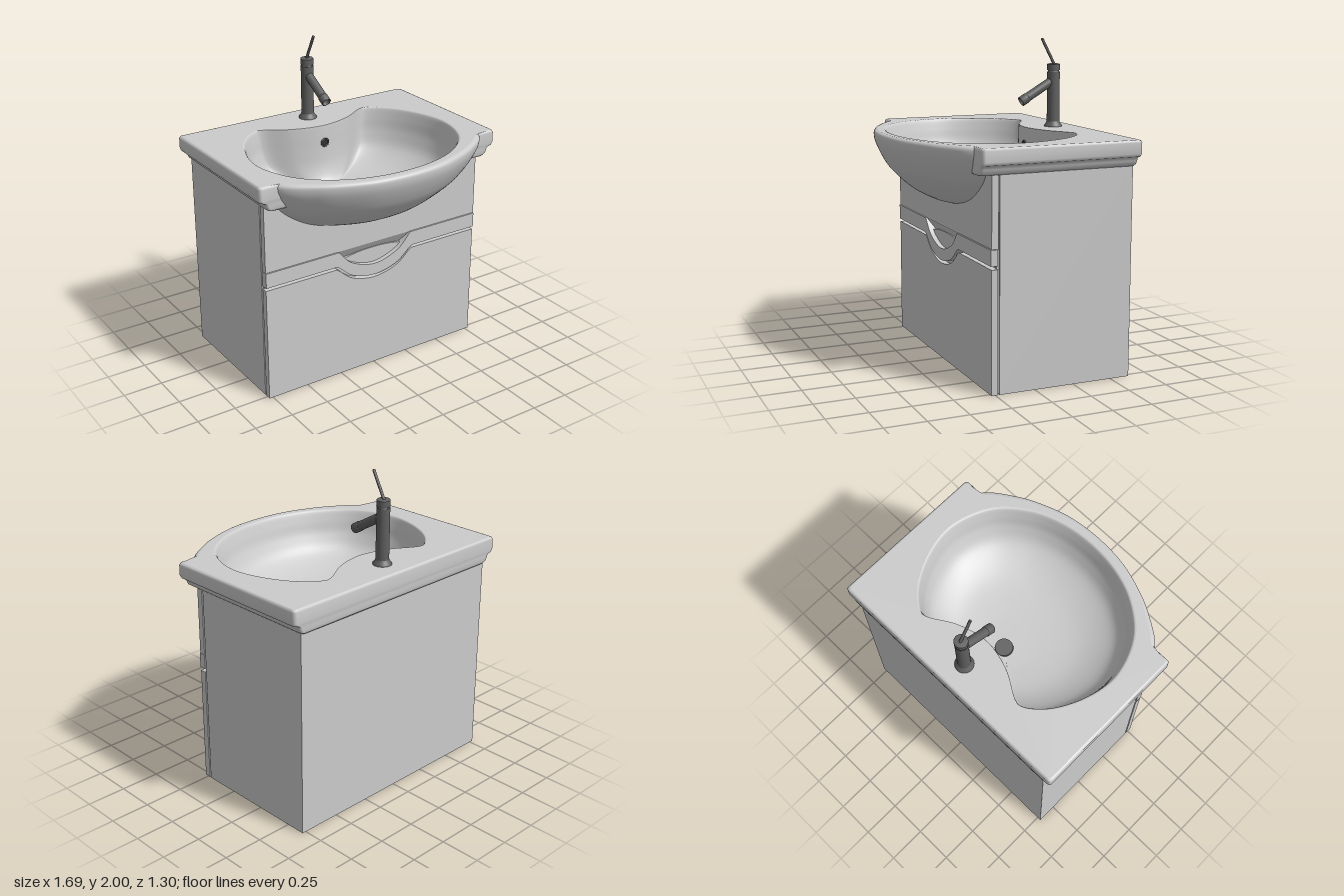
import * as THREE from 'three';

const GREY = 0xcccccc, METAL = 0x606060, DARK = 0x333333;

export function createModel() {
  const model = new THREE.Group();
  const add = (name, geo, color = GREY, side = THREE.FrontSide, parent = model) => {
    const mesh = new THREE.Mesh(geo, new THREE.MeshStandardMaterial({ color, side }));
    mesh.name = name;
    parent.add(mesh);
    return mesh;
  };
  const box = (name, w, h, d, x, y, z) =>
    add(name, new THREE.BoxGeometry(w, h, d)).position.set(x, y, z);
  const V2 = (a) => a.map(([x, y]) => new THREE.Vector2(x, y));

  // Smooth skin over rings of points
  const loft = (rings, closed) => {
    const n = rings[0].length, pos = [], idx = [];
    rings.forEach((r) => r.forEach((p) => pos.push(p.x, p.y, p.z)));
    for (let i = 0; i < rings.length - 1; i++)
      for (let j = 0; j < (closed ? n : n - 1); j++) {
        const k = (j + 1) % n, a = i * n + j, b = i * n + k;
        idx.push(a, a + n, b, b, a + n, b + n);
      }
    const g = new THREE.BufferGeometry();
    g.setAttribute('position', new THREE.Float32BufferAttribute(pos, 3));
    g.setIndex(idx);
    g.computeVertexNormals();
    return g;
  };

  // Closed symmetric outline (x, z) from its +x half, front to back
  const outline = (half, n) => {
    const mirror = half.slice(1, -1).reverse().map(([x, z]) => [-x, z]);
    const pts = [...half, ...mirror].map(([x, z]) => new THREE.Vector3(x, 0, z));
    return new THREE.CatmullRomCurve3(pts, true, 'centripetal').getPoints(n).slice(0, -1);
  };
  // Rings of an outline, scaled about z = cz along a (scale, height) profile
  const scaledRings = (line, profile, cz) =>
    new THREE.SplineCurve(V2(profile)).getPoints(40).map(({ x: s, y }) =>
      line.map((p) => new THREE.Vector3(p.x * s, y, cz + (p.z - cz) * s)));

  // ---- Basin ----
  const basin = new THREE.Group();
  basin.name = 'basin';
  model.add(basin);

  const outer = outline([[0, 0.65], [0.22, 0.63], [0.4, 0.573], [0.55, 0.5], [0.73, 0.355],
    [0.77, 0.15], [0.72, -0.2], [0.5, -0.47], [0, -0.56]], 128);
  const opening = outline([[0, 0.595], [0.22, 0.57], [0.42, 0.49], [0.6, 0.33], [0.69, 0.08],
    [0.66, -0.13], [0.55, -0.34], [0.42, -0.445], [0.37, -0.44], [0.2, -0.345], [0, -0.3]], 144);

  add('bowlOutside', loft(scaledRings(outer, [[0.965, 1.44], [0.99, 1.432], [1, 1.41], [0.985, 1.36],
    [0.93, 1.28], [0.85, 1.2], [0.69, 1.1], [0.55, 1.045], [0.42, 1.02], [0, 1]], 0), true),
    GREY, THREE.DoubleSide, basin);
  add('bowlInside', loft(scaledRings(opening, [[1, 1.44], [0.98, 1.43], [0.955, 1.37], [0.92, 1.28],
    [0.83, 1.18], [0.6, 1.1], [0.3, 1.07], [0, 1.065]], -0.17).reverse(), true),
    GREY, THREE.DoubleSide, basin);

  // Slab edge: open path round the ears and back, with rounded corners
  const slab = (ix, iz, y) => {
    const X = 0.845 - ix, F = 0.36 - iz, B = -0.65 + iz, r = 0.02, right = [[0.64, F]];
    for (const [cz, start] of [[F - r, Math.PI / 2], [B + r, 0]])
      for (let k = 0; k <= 5; k++) {
        const a = start - (k / 5) * Math.PI / 2;
        right.push([X - r + r * Math.cos(a), cz + r * Math.sin(a)]);
      }
    const left = right.map(([x, z]) => [-x, z]).reverse();
    return [...right, ...left].map(([x, z]) => new THREE.Vector3(x, y, z));
  };
  const edge = [[0.015, 0.015, 1.44], [0.005, 0.005, 1.436], [0, 0, 1.424], [0, 0, 1.36],
    [0.01, 0.003, 1.342], [0.038, 0.005, 1.332], [0.044, 0.005, 1.315], [0.052, 0.008, 1.293],
    [0.072, 0.012, 1.28], [0.12, 0.1, 1.28]];
  add('slabEdge', loft(edge.map((e) => slab(...e)), false), GREY, THREE.DoubleSide, basin);

  // Flat top with the bowl opening
  const flat = (p) => new THREE.Vector2(p.x, -p.z);
  const frontArc = outer.map((p) => p.clone().multiplyScalar(0.965))
    .filter((p) => p.z > 0.345).sort((a, b) => a.x - b.x);
  const deck = new THREE.Shape([...slab(0.015, 0.015, 0).slice(1, -1), ...frontArc].map(flat));
  deck.holes.push(new THREE.Path(opening.map(flat)));
  add('deck', new THREE.ShapeGeometry(deck).rotateX(-Math.PI / 2), GREY, THREE.DoubleSide, basin)
    .position.y = 1.44;

  // Drain and overflow
  add('drain', new THREE.CylinderGeometry(0.056, 0.058, 0.014, 40), METAL).position.set(0, 1.075, -0.17);
  add('overflowRing', new THREE.TorusGeometry(0.025, 0.005, 10, 32), METAL).position.set(0, 1.33, -0.287);
  add('overflowHole', new THREE.CircleGeometry(0.024, 32), DARK).position.set(0, 1.33, -0.286);

  // ---- Cabinet ----
  for (const s of [-1, 1]) {
    box('sidePanel', 0.02, 1.28, 0.85, s * 0.765, 0.64, -0.2);
    box('sideSpacer', 0.02, 1.27, 0.02, s * 0.755, 0.64, 0.23);
  }
  box('backPanel', 1.53, 1.28, 0.02, 0, 0.64, -0.615);
  box('bottomPanel', 1.53, 0.02, 0.83, 0, 0.01, -0.19);
  box('frontBoard', 1.53, 0.96, 0.03, 0, 0.49, 0.22);

  const front = (name, pts, z0, z1) => add(name, new THREE.ExtrudeGeometry(new THREE.Shape(pts),
    { depth: z1 - z0, bevelEnabled: false })).position.z = z0;
  // Symmetric curve from its +x half, running right to left
  const arc = (half, dy = 0) => new THREE.SplineCurve(V2([...half,
    ...half.slice(0, -1).reverse().map(([x, y]) => [-x, y])].map(([x, y]) => [x, y + dy]))).getPoints(48);
  const dip = [[0.29, 0.74], [0.265, 0.73], [0.16, 0.65], [0, 0.615]];
  const notch = [[0.265, 0.855], [0.17, 0.76], [0, 0.71]];

  front('lowerDrawer', [...V2([[-0.775, 0], [0.775, 0], [0.775, 0.74]]), ...arc(dip),
    ...V2([[-0.775, 0.74]])], 0.235, 0.275);
  front('handleStrip', [...V2([[0.775, 0.76], [0.775, 0.855]]), ...arc(notch),
    ...V2([[-0.775, 0.855], [-0.775, 0.76]]), ...arc(dip, 0.02).reverse()], 0.235, 0.28);
  front('upperDrawer', [...V2([[-0.775, 0.858], [0.775, 0.858], [0.775, 1.28]]),
    ...arc([[0.68, 1.28], [0.62, 1.2], [0.48, 1.115], [0.34, 1.06], [0, 1.035]]),
    ...V2([[-0.775, 1.28]])], 0.235, 0.275);

  // Finger recess: slanted underside above a curved pull
  front('fingerPull', [...arc([[0.21, 0.79], [0.15, 0.73], [0, 0.69]]),
    ...arc([[0.21, 0.79], [0.1, 0.806], [0, 0.81]]).reverse()], 0.235, 0.25);
  const wedge = new THREE.Shape(V2([[-0.274, 0.858], [-0.236, 0.858], [-0.236, 0.795]]));
  add('recessSlope', new THREE.ExtrudeGeometry(wedge, { depth: 0.54, bevelEnabled: false })
    .rotateY(Math.PI / 2).translate(-0.27, 0, 0));

  // ---- Tap ----
  const tap = new THREE.Group();
  tap.name = 'tap';
  tap.position.set(0, 1.44, -0.49);
  model.add(tap);
  const lathe = (name, pts) => add(name, new THREE.LatheGeometry(V2(pts), 40), METAL,
    THREE.DoubleSide, tap);
  lathe('tapBase', [[0.058, 0], [0.056, 0.008], [0.046, 0.02], [0.04, 0.032]]);
  lathe('tapColumn', [[0.04, 0.02], [0.04, 0.345]]);
  lathe('tapNeck', [[0.04, 0.345], [0.035, 0.345], [0.035, 0.355], [0.041, 0.355]]);
  lathe('tapCap', [[0.041, 0.355], [0.041, 0.392]]);
  lathe('tapCapTop', [[0.041, 0.392], [0.037, 0.396], [0, 0.396]]);

  // Spout points forward and down; its tip is hollow
  const up = new THREE.Vector3(0, 1, 0);
  const aim = (mesh, from, to) => {
    mesh.position.copy(from);
    mesh.quaternion.setFromUnitVectors(up, to.clone().sub(from).normalize());
  };
  const root = new THREE.Vector3(0, 0.295, 0), tip = new THREE.Vector3(0, 0.163, 0.225);
  const L = root.distanceTo(tip);
  aim(lathe('spout', [[0.028, 0], [0.028, L - 0.05]]), root, tip);
  aim(lathe('spoutTip', [[0.027, L - 0.05], [0.031, L - 0.047], [0.031, L], [0.024, L],
    [0.024, L - 0.025], [0, L - 0.025]]), root, tip);

  // Lever
  const low = new THREE.Vector3(0, 0.39, -0.005), high = new THREE.Vector3(0, 0.555, 0.083);
  const H = low.distanceTo(high);
  aim(lathe('lever', [[0.009, 0], [0.009, H - 0.003], [0.006, H], [0, H]]), low, high);

  return model;
}
